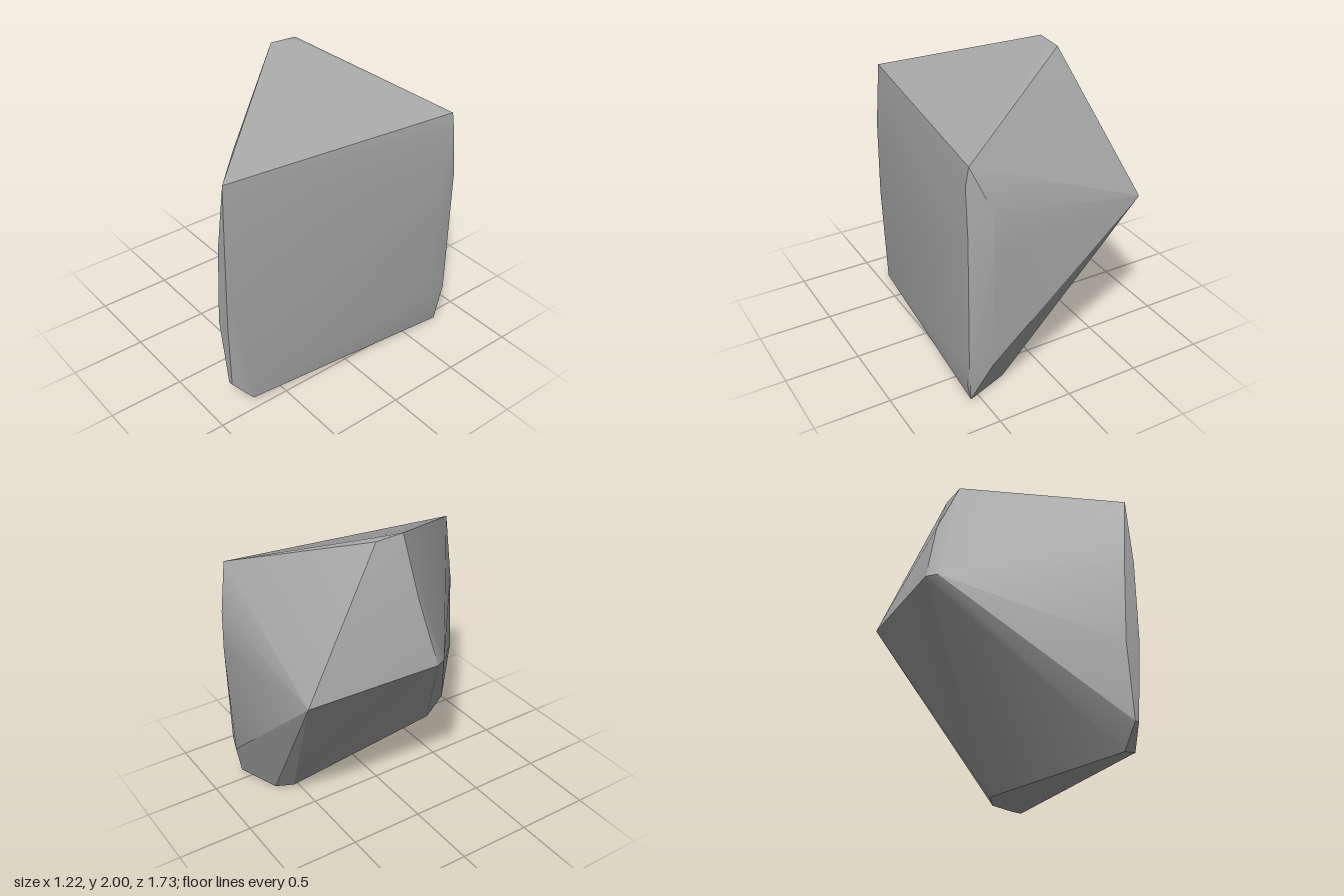
import * as THREE from 'three';
import { ConvexGeometry } from 'three/addons/geometries/ConvexGeometry.js';
import { toCreasedNormals } from 'three/addons/utils/BufferGeometryUtils.js';

// Corners of the boulder, grouped by the region they shape
const corners = {
  peak: [[-0.34, 2, -0.04], [-0.34, 1.99, -0.23], [-0.3, 1.995, -0.2]],
  leftShoulder: [[-0.505, 1.64, -0.04], [-0.61, 1.21, 0.04], [-0.565, 1.2, 0.12]],
  backCorner: [[-0.56, 1.19, -0.84]],
  // narrow bevel down the front edge
  frontBevel: [
    [0.38, 1.64, 0.84], [0.335, 1.2, 0.86], [0.31, 0.65, 0.865], [0.36, 0.17, 0.845],
    [0.405, 1.2, 0.862], [0.408, 0.65, 0.867], [0.388, 0.17, 0.842],
  ],
  // bevel between the broad side and the back
  backBevel: [
    [0.57, 1.65, -0.765], [0.592, 1.53, -0.765], [0.597, 1.2, -0.797], [0.597, 0.3, -0.795],
    [0.605, 1.2, -0.67], [0.605, 0.3, -0.67], [0.592, 0.14, -0.76],
    [0.46, 1.37, -0.857], [0.46, 1.1, -0.866], [0.46, 0.3, -0.842],
  ],
  base: [
    [0.57, 0.02, -0.76], [0.45, 0, -0.68], [0.28, 0.012, -0.65], [0.2, 0.035, -0.55],
    [0.37, 0.025, 0.72], [0.445, 0.03, 0.72],
  ],
};

export function createModel() {
  const stone = new THREE.MeshStandardMaterial({ color: 0xa6a6a6 });
  stone.name = 'grey stone';

  const points = Object.values(corners).flat().map((p) => new THREE.Vector3(...p));
  // Soft bevels, crisp main ridges
  const geometry = toCreasedNormals(new ConvexGeometry(points), 0.4);
  const boulder = new THREE.Mesh(geometry, stone);
  boulder.name = 'boulder';

  const model = new THREE.Group();
  model.name = 'rock';
  model.add(boulder);
  return model;
}
